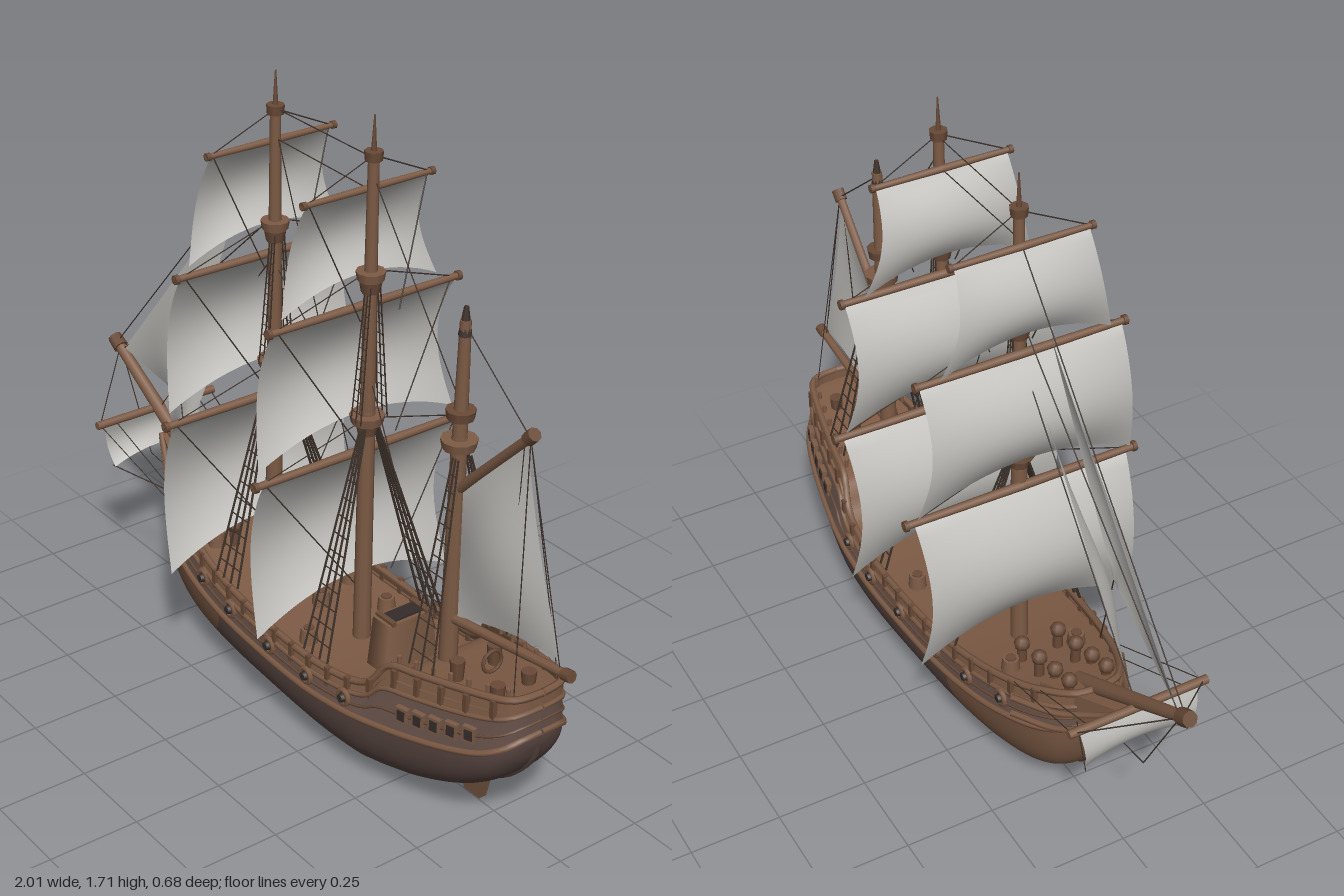
import * as THREE from 'three';
import { ParametricGeometry } from 'three/addons/geometries/ParametricGeometry.js';

const V = (x, y, z = 0) => new THREE.Vector3(x, y, z);
const lerp = THREE.MathUtils.lerp;

function material(name, color, side = THREE.FrontSide) {
  const m = new THREE.MeshStandardMaterial({ color, side });
  m.name = name;
  return m;
}

// Hull stations: x, keel y, wale y, rail y, half beam at wale, half width at rail
const STATIONS = [
  [-0.605, 0.30, 0.305, 0.425, 0.0, 0.0],
  [-0.595, 0.24, 0.30, 0.422, 0.045, 0.05],
  [-0.575, 0.16, 0.292, 0.415, 0.085, 0.075],
  [-0.53, 0.10, 0.28, 0.40, 0.125, 0.105],
  [-0.45, 0.06, 0.262, 0.372, 0.16, 0.138],
  [-0.32, 0.04, 0.235, 0.338, 0.19, 0.17],
  [-0.15, 0.033, 0.212, 0.305, 0.21, 0.192],
  [0.05, 0.025, 0.20, 0.285, 0.22, 0.202],
  [0.25, 0.015, 0.20, 0.278, 0.226, 0.203],
  [0.40, 0.012, 0.212, 0.29, 0.222, 0.19],
  [0.47, 0.022, 0.22, 0.32, 0.215, 0.178],
  [0.52, 0.032, 0.226, 0.385, 0.207, 0.162],
  [0.62, 0.058, 0.24, 0.405, 0.188, 0.146],
  [0.74, 0.11, 0.262, 0.425, 0.16, 0.124],
  [0.83, 0.175, 0.285, 0.44, 0.13, 0.104],
  [0.88, 0.24, 0.31, 0.448, 0.095, 0.085],
  [0.90, 0.29, 0.33, 0.45, 0.055, 0.05],
  [0.905, 0.32, 0.335, 0.45, 0.0, 0.0],
];
const curve = (i) => new THREE.CatmullRomCurve3(
  STATIONS.map((s) => V(s[i], s[i + 1], s[i + 2])), false, 'catmullrom', 0.5);
const lowCurve = curve(0), highCurve = curve(3);

function station(u) {
  const a = lowCurve.getPoint(u), b = highCurve.getPoint(u);
  return { x: a.x, k: a.y, w: a.z, s: b.x, b: Math.max(0, b.y), t: Math.max(0, b.z) };
}
function uAt(x) {
  let lo = 0, hi = 1;
  for (let i = 0; i < 22; i++) {
    const m = (lo + hi) / 2;
    if (lowCurve.getPoint(m).x < x) lo = m; else hi = m;
  }
  return (lo + hi) / 2;
}
// Point on the topside: f = 0 at the wale, 1 at the rail
function topside(u, f, side, out = 0) {
  const h = station(u);
  return V(h.x, lerp(h.w, h.s, f), side * (lerp(h.b, h.t, f) + out));
}

export function createModel() {
  const ship = new THREE.Group();
  ship.name = 'sailingShip';
  const D = THREE.DoubleSide;
  const wood = material('brown wood', 0x7d5b45, D);
  const bowWood = material('bow planks', 0x735440, D);
  const hullDark = material('dark hull', 0x574540, D);
  const band = material('grey brown planks', 0x665149, D);
  const trim = material('trim wood', 0x694a37);
  const rope = material('dark rope', 0x40332c);
  const canvas = material('sail canvas', 0xc0bfbb, D);
  const glass = material('dark opening', 0x352c2a, D);

  function add(name, geo, mat, pos, parent = ship) {
    const m = new THREE.Mesh(geo, mat);
    m.name = name;
    if (pos) m.position.copy(pos);
    parent.add(m);
    return m;
  }
  const surface = (name, mat, fn, nu, nv) => add(name, new ParametricGeometry(fn, nu, nv), mat);
  // Tapered round bar between two points
  function bar(name, a, b, ra, rb = ra, mat = trim, sides = 8) {
    const d = b.clone().sub(a);
    const m = add(name, new THREE.CylinderGeometry(rb, ra, d.length(), sides), mat, a.clone().lerp(b, 0.5));
    m.quaternion.setFromUnitVectors(V(0, 1, 0), d.normalize());
    return m;
  }
  const line = (a, b, r = 0.0018) => bar('rope', a, b, r, r, rope, 4);
  const box = (name, w, h, d, mat, pos) => add(name, new THREE.BoxGeometry(w, h, d), mat, pos);

  // Lower hull, with paler planks at the bow
  const lower = (from, to) => (u, v, p) => {
    const a = (v - 0.5) * Math.PI;
    const c = Math.cos(a);
    const h = station(lerp(from(c), to(c), u));
    const z = Math.sign(a) * Math.pow(Math.abs(Math.sin(a)), 0.75) * h.b;
    p.set(h.x, h.w - (h.w - h.k) * Math.pow(Math.max(0, c), 0.8), z);
  };
  const split = (c) => uAt(-0.17 - 0.2 * c * c);
  surface('bowHull', bowWood, lower(() => 0, split), 24, 28);
  surface('lowerHull', hullDark, lower(split, () => 1), 48, 28);

  // Topsides, rails and wales
  for (const side of [1, -1]) {
    const strip = (f0, f1) => (u, v, p) => p.copy(topside(u, lerp(f0, f1, v), side));
    surface('topsideBand', band, strip(0, 0.62), 70, 3);
    surface('bulwark', wood, strip(0.62, 1), 70, 2);
    for (const [f, r] of [[0, 0.009], [0.3, 0.004], [0.62, 0.007], [1, 0.01]]) {
      const pts = Array.from({ length: 50 }, (_, i) => topside(i / 49, f, side, 0.002));
      add('rail', new THREE.TubeGeometry(new THREE.CatmullRomCurve3(pts), 90, r, 6), f === 0.3 ? trim : wood);
    }
    // Round gun ports
    for (const x of [-0.4, -0.26, -0.11, 0.08, 0.25, 0.4]) {
      const p = topside(uAt(x), 0.42, side, 0.004);
      add('portRing', new THREE.TorusGeometry(0.02, 0.008, 6, 12), wood, p);
      bar('gun', p, p.clone().add(V(0, 0, side * 0.014)), 0.014, 0.011, glass);
    }
    // Cabin windows and frames on the quarter
    for (const x of [0.6, 0.65, 0.7, 0.75, 0.8]) {
      const q = topside(uAt(x), 0.32, side, 0.003), n = topside(uAt(x + 0.02), 0.32, side, 0.003);
      const g = new THREE.Group();
      g.name = 'quarterWindow';
      g.position.copy(q);
      g.rotation.y = Math.atan2(-(n.z - q.z), n.x - q.x);
      add('frame', new THREE.BoxGeometry(0.036, 0.042, 0.014), wood, null, g);
      add('pane', new THREE.BoxGeometry(0.022, 0.028, 0.02), glass, null, g);
      ship.add(g);
    }
    // Timber heads along the rail
    for (let x = -0.5; x < 0.88; x += 0.075) {
      const p = topside(uAt(x), 0.8, side, 0.004);
      box('timberHead', 0.014, 0.055, 0.014, trim, p);
    }
    // Raised quarterdeck rail
    for (let x = 0.54; x < 0.88; x += 0.055) {
      const p = topside(uAt(x), 1, side, -0.012);
      bar('railPost', p, p.clone().add(V(0, 0.025)), 0.006, 0.006, wood, 6);
    }
    // Head rails sweeping up to the beak
    for (const dy of [0, 0.055]) {
      const c = new THREE.CatmullRomCurve3([V(-0.45, 0.28 + dy, side * 0.165), V(-0.57, 0.3 + dy, side * 0.105),
        V(-0.66, 0.355 + dy * 0.8, side * 0.05), V(-0.74, 0.44 + dy * 0.2, side * 0.012)]);
      add('headRail', new THREE.TubeGeometry(c, 20, 0.009, 6), wood);
    }
  }

  // Deck follows the sheer and steps up at the stern
  surface('deck', wood, (u, v, p) => {
    const h = station(u);
    p.set(h.x, h.s - 0.035, (1 - 2 * v) * lerp(h.b, h.t, 0.65));
  }, 70, 4);

  // Beak: a box narrowed and raised towards its tip
  const beak = new THREE.BoxGeometry(0.26, 1, 1, 8, 1, 1);
  const bp = beak.attributes.position;
  for (let i = 0; i < bp.count; i++) {
    const f = bp.getX(i) / 0.26 + 0.5;
    const y = bp.getY(i) > 0 ? lerp(0.455, 0.385, f) : lerp(0.435, 0.27, Math.pow(f, 0.7));
    bp.setXYZ(i, lerp(-0.74, -0.48, f), y, bp.getZ(i) * lerp(0.02, 0.2, f));
  }
  beak.computeVertexNormals();
  add('beak', beak, wood);

  // Keel, stern post and rudder
  const rudder = new THREE.Shape([[0.62, 0.12], [0.645, 0.02], [0.705, 0.02], [0.735, 0.14], [0.68, 0.16]]
    .map(([x, y]) => new THREE.Vector2(x, y)));
  add('rudder', new THREE.ExtrudeGeometry(rudder, { depth: 0.024, bevelEnabled: false }), bowWood, V(0, 0, -0.012));
  const keelPts = [0.07, 0.12, 0.2, 0.3, 0.4, 0.5, 0.6, 0.7, 0.8, 0.9, 0.95].map((u) => V(station(u).x, station(u).k, 0));
  add('keel', new THREE.TubeGeometry(new THREE.CatmullRomCurve3(keelPts), 50, 0.009, 6), hullDark);

  // Deck house with grating
  const house = add('deckHouse', new THREE.CylinderGeometry(0.72, 0.85, 0.14, 4), wood, V(0.37, 0.33, 0));
  house.geometry.rotateY(Math.PI / 4).scale(0.065, 1, 0.14);
  box('grating', 0.045, 0.006, 0.1, glass, V(0.37, 0.402, 0));
  for (const z of [-0.055, 0.055]) box('houseTrim', 0.07, 0.012, 0.014, trim, V(0.37, 0.402, z));

  // Barrels and bollards on deck
  for (const [x, z] of [[-0.02, 0.13], [-0.02, -0.13], [0.14, 0.13], [0.14, -0.13], [0.02, 0], [-0.33, 0.1], [-0.33, -0.1]]) {
    const y = station(uAt(x)).s - 0.035;
    bar('barrel', V(x, y), V(x, y + 0.04), 0.026, 0.022, wood, 10).position.z = z;
    bar('barrelLid', V(x, y + 0.04), V(x, y + 0.044), 0.015, 0.015, trim, 8).position.z = z;
  }
  for (const [x, y] of [[-0.55, 0.43], [-0.48, 0.41], [-0.4, 0.385], [-0.31, 0.36]]) for (const z of [-0.055, 0.055]) {
    bar('bollard', V(x, y - 0.09, z), V(x, y, z), 0.014, 0.014, trim);
    add('bollardCap', new THREE.SphereGeometry(0.022, 8, 6), trim, V(x, y, z));
  }
  for (const [x, z] of [[0.66, 0.06], [0.66, -0.06], [0.8, 0.05], [0.8, -0.05]])
    bar('sternBollard', V(x, 0.38, z), V(x, 0.435, z), 0.016, 0.02, trim);
  add('helm', new THREE.TorusGeometry(0.03, 0.005, 6, 14).rotateY(Math.PI / 2), trim, V(0.72, 0.44, 0));

  // Two square rigged masts
  function squareSail(x0, top, bottom, ht, hb, arc, depth) {
    surface('squareSail', canvas, (u, v, p) => {
      const t = 2 * u - 1, belly = Math.sin(Math.PI * Math.pow(v, 0.9)) * (0.72 + 0.28 * (1 - t * t));
      const half = lerp(ht, hb, v) - 0.012 * Math.sin(Math.PI * v);
      p.set(x0 - depth * belly - 0.025 * v, lerp(top, bottom, v) + v * v * arc * (1 - t * t), t * half);
    }, 16, 16);
  }
  function shrouds(x, baseY, baseZ, topX, topY, spread, n, r, topZ) {
    for (const s of [1, -1]) {
      const foot = (f) => V(x + spread * f, baseY, s * baseZ), head = (f) => V(topX + 0.02 * f, topY, s * topZ);
      for (let i = 0; i < n; i++) line(foot(i / (n - 1)), head(i / (n - 1)), r);
      for (let j = 1; j < 13; j++) line(foot(0).lerp(head(0), j / 13), foot(1).lerp(head(1), j / 13), r * 0.6);
    }
  }
  for (const [x, base] of [[-0.2, 0.26], [0.2, 0.24]]) {
    const at = (y) => V(x + 0.028 * (y - 0.3) / 1.4, y);
    bar('lowerMast', at(base), at(0.92), 0.024, 0.021, wood, 10);
    bar('topMast', at(0.9), at(1.6), 0.02, 0.014, wood, 10);
    bar('mastSpike', at(1.6), at(1.71), 0.009, 0.002, trim, 6);
    bar('mastCap', at(1.595), at(1.62), 0.022, 0.024, trim);
    for (const [y, r] of [[0.9, 0.046], [1.295, 0.038]]) {
      bar('mastTop', at(y - 0.012), at(y + 0.012), r * 0.9, r, wood, 10);
      bar('mastCollar', at(y - 0.045), at(y - 0.012), 0.024, 0.03, trim);
    }
    for (const [y, half, r] of [[0.8, 0.34, 0.013], [1.21, 0.3, 0.012], [1.518, 0.2, 0.01]]) {
      const c = at(y).add(V(-0.016, 0));
      for (const s of [1, -1]) {
        bar('yard', c, c.clone().add(V(0, 0, s * half)), r, r * 0.75, wood);
        bar('yardEnd', c.clone().add(V(0, 0, s * (half - 0.012))), c.clone().add(V(0, 0, s * half)), r * 1.1, r * 1.1, trim);
        line(c.clone().add(V(0, 0, s * half * 0.95)), at(y + (y > 1.5 ? 0.09 : 0.1)));
        line(c.clone().add(V(0, 0, s * half * 0.9)), at(y > 1.5 ? 1.2 : y - 0.35).add(V(0.04, 0, s * 0.06)));
      }
    }
    squareSail(x - 0.008, 0.79, 0.335, 0.31, 0.315, 0.09, 0.082);
    squareSail(x, 1.2, 0.825, 0.285, 0.31, 0.075, 0.07);
    squareSail(x + 0.005, 1.51, 1.225, 0.185, 0.24, 0.06, 0.052);
    shrouds(x + 0.005, station(uAt(x)).s, 0.195, at(0.88).x, 0.88, 0.1, 4, 0.004, 0.02);
    shrouds(x, 0.9, 0.042, at(1.28).x, 1.28, 0.04, 3, 0.0025, 0.014);
  }

  // Mizzen mast with gaff, boom and sail
  const mz = (y) => V(0.552 + 0.028 * (y - 0.35), y);
  bar('mizzenMast', mz(0.34), mz(1.0), 0.025, 0.02, wood, 10);
  bar('mizzenTopMast', mz(1.0), mz(1.31), 0.019, 0.014, wood, 10);
  bar('mizzenTip', mz(1.27), mz(1.345), 0.017, 0.006, rope, 8);
  bar('mizzenTop', mz(0.97), mz(0.995), 0.042, 0.047, wood, 10);
  bar('mizzenCollar', mz(1.05), mz(1.075), 0.034, 0.038, trim, 10);
  bar('gaff', V(0.57, 0.855), V(0.82, 1.105), 0.014, 0.012, wood);
  bar('gaffEnd', V(0.81, 1.095), V(0.832, 1.117), 0.018, 0.018, trim);
  bar('boom', V(0.555, 0.485), V(0.985, 0.543), 0.013, 0.012, wood);
  bar('boomEnd', V(0.972, 0.541), V(1.0, 0.545), 0.016, 0.016, trim);
  surface('mizzenSail', canvas, (u, v, p) => {
    const b = Math.sin(Math.PI * v);
    p.copy(V(0.59, 0.87).lerp(V(0.81, 1.08), u)).lerp(V(0.585, 0.5).lerp(V(0.955, 0.57), u), v);
    p.x -= 0.012 * b * u;
    p.z = 0.03 * b * Math.sin(Math.PI * u);
    p.y += 0.015 * v * Math.sin(Math.PI * u);
  }, 12, 12);
  shrouds(0.57, 0.41, 0.14, 0.572, 0.95, 0.09, 3, 0.0035, 0.02);

  // Bowsprit, its yard and the small sail below it
  bar('bowsprit', V(-0.5, 0.365), V(-0.975, 0.645), 0.024, 0.016, wood, 10);
  bar('bowspritEnd', V(-0.965, 0.64), V(-1.0, 0.66), 0.023, 0.021, trim);
  bar('spritYard', V(-0.785, 0.515, -0.2), V(-0.785, 0.515, 0.2), 0.012, 0.012, wood);
  surface('spritSail', canvas, (u, v, p) => {
    const t = 2 * u - 1;
    p.set(-0.79 - 0.03 * Math.sin(Math.PI * v * 0.8) + 0.03 * v,
      0.505 - 0.135 * v + 0.03 * v * (1 - t * t), t * lerp(0.17, 0.15, v));
  }, 10, 8);

  // Jibs, bellied to one side
  function jib(tack, head, clew) {
    surface('jib', canvas, (u, v, p) => {
      p.copy(tack).lerp(head, u).lerp(clew, v * 0.995);
      p.z += 0.03 * Math.sin(Math.PI * u) * Math.sin(Math.PI * v);
    }, 14, 10);
  }
  jib(V(-0.945, 0.645), V(-0.33, 1.345), V(-0.52, 0.685, 0.085));
  jib(V(-0.74, 0.55), V(-0.315, 1.09), V(-0.5, 0.545, 0.09));

  // Standing and running rigging
  const ropes = [
    [[-0.98, 0.655, 0], [-0.18, 1.53, 0]], [[-0.95, 0.64, 0], [-0.18, 1.32, 0]], [[-0.75, 0.54, 0], [-0.19, 1.2, 0]],
    [[-0.175, 1.61, 0], [0.225, 1.6, 0]], [[-0.175, 1.53, 0], [0.225, 1.515, 0]], [[-0.17, 1.55, 0], [0.17, 0.68, 0]],
    [[0.23, 1.55, 0], [0.575, 1.08, 0]], [[0.575, 1.3, 0], [0.82, 1.1, 0]], [[0.23, 1.0, 0], [0.5, 0.42, 0]],
    [[0.82, 1.1, 0], [0.96, 0.54, 0]], [[-0.2, 1.2, 0], [0.21, 0.85, 0]], [[-0.96, 0.63, 0], [-0.82, 0.35, 0]],
    [[-0.82, 0.35, 0], [-0.6, 0.32, 0]], [[-0.52, 0.685, 0.085], [-0.4, 0.37, 0.13]], [[0.8, 1.08, 0], [0.8, 0.72, 0.02]],
  ];
  for (const [a, b] of ropes) line(V(...a), V(...b));
  for (const s of [1, -1]) {
    line(V(-0.785, 0.515, s * 0.19), V(-0.43, 0.37, s * 0.15));
    line(V(-0.785, 0.515, s * 0.14), V(-0.5, 0.39, s * 0.12));
    line(V(-0.785, 0.515, s * 0.19), V(-0.97, 0.64, 0));
    line(V(-0.79, 0.37, s * 0.15), V(-0.6, 0.33, s * 0.06));
    line(V(0.82, 1.1, 0), V(0.88, 0.45, s * 0.07));
  }
  return ship;
}
